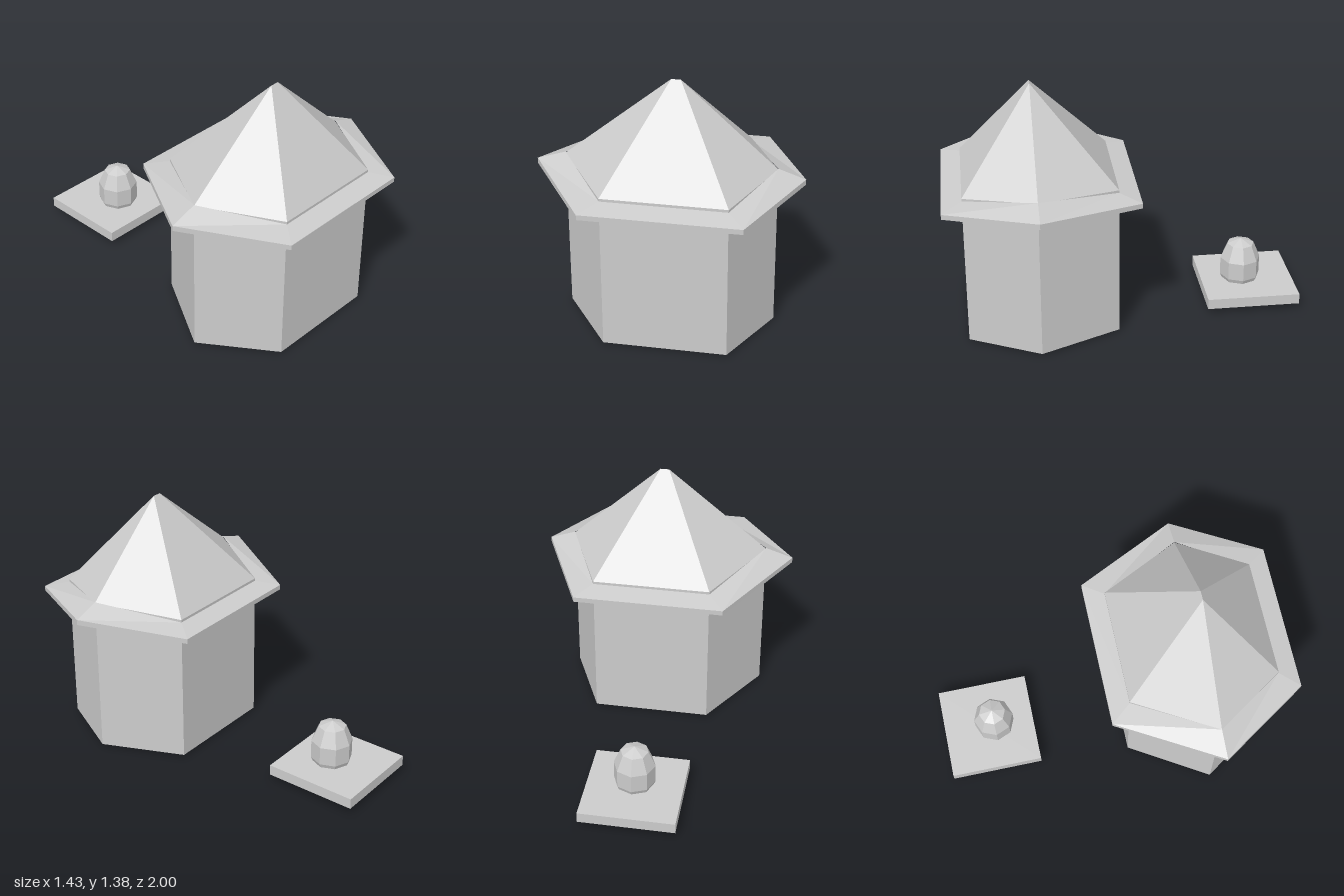
import * as THREE from 'three';

const material = new THREE.MeshStandardMaterial({ color: 0xcccccc, flatShading: true });

// Skins consecutive rings of [x, y, z] points, wound anticlockwise seen from above
function loft(rings) {
  const positions = [];
  for (let r = 0; r < rings.length - 1; r++) {
    const a = rings[r], b = rings[r + 1];
    for (let i = 0; i < a.length; i++) {
      const j = (i + 1) % a.length;
      positions.push(...a[i], ...a[j], ...b[j], ...a[i], ...b[j], ...b[i]);
    }
  }
  const geometry = new THREE.BufferGeometry();
  geometry.setAttribute('position', new THREE.Float32BufferAttribute(positions, 3));
  geometry.computeVertexNormals();
  return geometry;
}

// Irregular hexagon; the two side corners have their own height
function hexagon([left, right], [innerLeft, innerRight], [back, front], sideY, y) {
  const mid = 0.5;
  return [
    [right, sideY, mid], [innerRight, y, back], [innerLeft, y, back],
    [left, sideY, mid], [innerLeft, y, front], [innerRight, y, front],
  ];
}

const wallRing = (sideY, y) => hexagon([-0.56, 0.57], [-0.29, 0.37], [0.055, 0.89], sideY, y);
const brimRing = (sideY, y) => hexagon([-0.715, 0.715], [-0.38, 0.46], [-0.06, 1], sideY, y);

export function createModel() {
  const group = new THREE.Group();
  const add = (name, geometry, x = 0, y = 0, z = 0) => {
    const mesh = new THREE.Mesh(geometry, material);
    mesh.name = name;
    mesh.position.set(x, y, z);
    group.add(mesh);
  };

  // Hexagonal hut walls with a closed floor
  const floorCentre = wallRing(0.01, 0.01).map(() => [0.03, 0.01, 0.5]);
  add('walls', loft([floorCentre, wallRing(0.01, 0.01), wallRing(0.92, 0.875)]));

  // Pointed roof ending in a very short ridge
  const ridge = hexagon([0.01, 0.06], [0.01, 0.06], [0.5, 0.5], 1.385, 1.385);
  add('roof', loft([wallRing(0.92, 0.875), ridge]));

  // Sloping brim, raised at the two side corners
  add('brim', loft([
    wallRing(0.895, 0.83), brimRing(0.845, 0.805),
    brimRing(0.875, 0.833), wallRing(0.925, 0.86),
  ]));

  // Separate square slab behind the hut
  add('slab', new THREE.BoxGeometry(0.53, 0.06, 0.53), -0.005, 0.066, -0.735);

  // Eight-sided capsule standing through the slab
  const profile = [[0, 0], [0.077, 0.03], [0.115, 0.12], [0.115, 0.225], [0.077, 0.315], [0, 0.345]];
  const capsule = new THREE.LatheGeometry(profile.map(([r, y]) => new THREE.Vector2(r, y)), 8);
  add('capsule', capsule, 0, 0, -0.7);

  return group;
}
